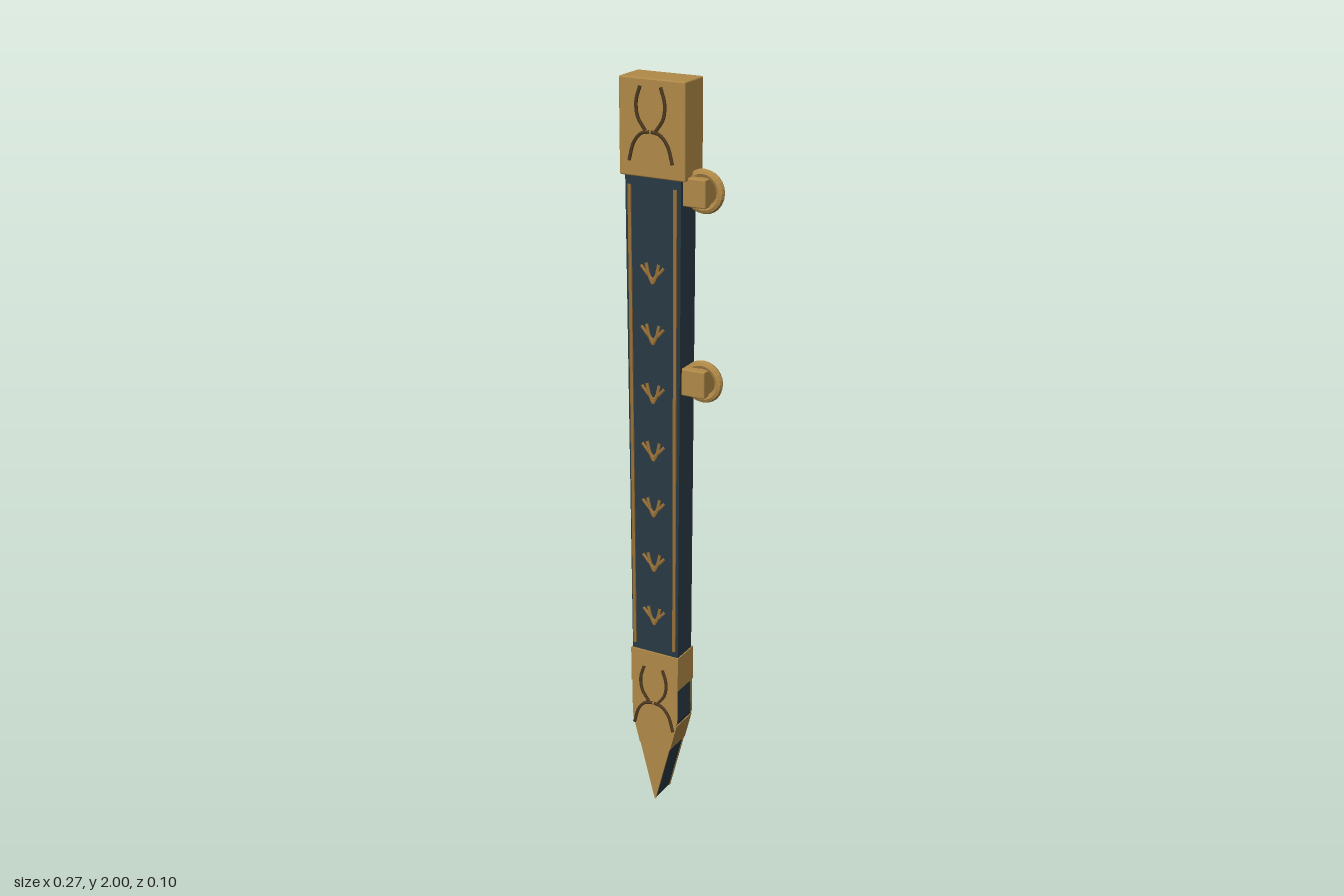
import * as THREE from 'three';
import { RoundedBoxGeometry } from 'three/addons/geometries/RoundedBoxGeometry.js';

const CX = -0.043; // centre line of the scabbard

const material = (name, color) => {
  const m = new THREE.MeshStandardMaterial({ color });
  m.name = name;
  return m;
};

// Faceted copy of a geometry
const faceted = (geometry) => {
  const flat = geometry.toNonIndexed();
  flat.computeVertexNormals();
  return flat;
};

export function createModel() {
  const gold = material('aged gold', 0xb08947);
  const blue = material('dark blue leather', 0x293944);
  const bronze = material('bronze trim', 0x9a7238);
  const dark = material('dark engraving', 0x4d3a20);
  const group = new THREE.Group();

  const add = (name, geometry, mat, x = 0, y = 0, z = 0) => {
    const mesh = new THREE.Mesh(geometry, mat);
    mesh.name = name;
    mesh.position.set(x, y, z);
    group.add(mesh);
    return mesh;
  };

  // Half width of the sheath at a height: slow taper, then a point
  const halfWidth = (y) => (y < 0.26 ? (0.068 * y) / 0.26 : 0.068 + (0.01 * (y - 0.26)) / 1.5);

  // Slab that follows the sheath outline through the given heights
  const slab = (name, heights, z0, z1, grow, mat) => {
    const right = heights.map((y) => new THREE.Vector2(halfWidth(y) + grow, y));
    const left = right.map((p) => new THREE.Vector2(-p.x, p.y)).reverse();
    const geometry = new THREE.ExtrudeGeometry(new THREE.Shape([...right, ...left]), {
      depth: z1 - z0, bevelEnabled: false,
    });
    add(name, geometry, mat, CX, 0, z0);
  };

  // Leather sheath
  slab('sheath', [0.002, 0.26, 1.77], -0.04, 0.035, 0, blue);

  // Tip fitting: front and back plates joined by side bands
  slab('tipFrontPlate', [0, 0.26, 0.46], 0.0345, 0.04, 0.001, gold);
  slab('tipBackPlate', [0, 0.26, 0.46], -0.046, -0.0395, 0.001, gold);
  slab('tipUpperBand', [0.36, 0.46], -0.046, 0.04, 0.003, gold);
  slab('tipLowerBand', [0.17, 0.25], -0.046, 0.04, 0.003, gold);

  // Throat fitting
  add('throat', new RoundedBoxGeometry(0.182, 0.24, 0.093, 2, 0.004), gold, CX, 1.88, -0.006);

  // Hanging brackets and rings
  for (const y of [1.732, 1.244]) {
    add('ringBracket', new RoundedBoxGeometry(0.075, 0.072, 0.062, 2, 0.004), gold, 0.0575, y, -0.006);
    add('hangingRing', faceted(new THREE.TorusGeometry(0.045, 0.011, 8, 24)), gold, 0.076, y, -0.006);
  }

  // Flattened tube on the front, mirrored by side
  const tube = (name, side, points, steps, radius, mat, y, z) => {
    const curve = new THREE.CatmullRomCurve3(points.map(([px, py]) => new THREE.Vector3(px * side, py, 0)));
    const mesh = add(name, faceted(new THREE.TubeGeometry(curve, steps, radius, 6)), mat, CX, y, z);
    mesh.scale.z = 0.8;
  };

  for (const s of [-1, 1]) {
    // Curling strands on the throat and tip: open oval above an arch
    for (const y of [1.8, 0.235]) {
      tube('scrollOval', s, [[0.028, 0.183], [0.039, 0.145], [0.035, 0.108], [0.014, 0.076]], 14, 0.0045, dark, y, 0.0465);
      tube('scrollArch', s, [[0.002, 0.074], [0.025, 0.069], [0.046, 0.046], [0.06, 0]], 14, 0.0045, dark, y, 0.0465);
    }

    // Long edge rails
    tube('edgeRail', s, [[0.06, 0.48], [0.062, 1.11], [0.064, 1.74]], 2, 0.005, bronze, 0, 0.0395);

    // Row of winged chevrons
    for (let i = 0; i < 7; i++) {
      const y = 0.575 + i * 0.158;
      tube('chevronWing', s, [[0, -0.028], [0.011, -0.006], [0.018, 0.024]], 4, 0.0045, bronze, y, 0.0395);
      tube('chevronFlare', s, [[0.001, -0.018], [0.016, -0.003], [0.033, 0.016]], 4, 0.0042, bronze, y, 0.0395);
    }
  }

  return group;
}
